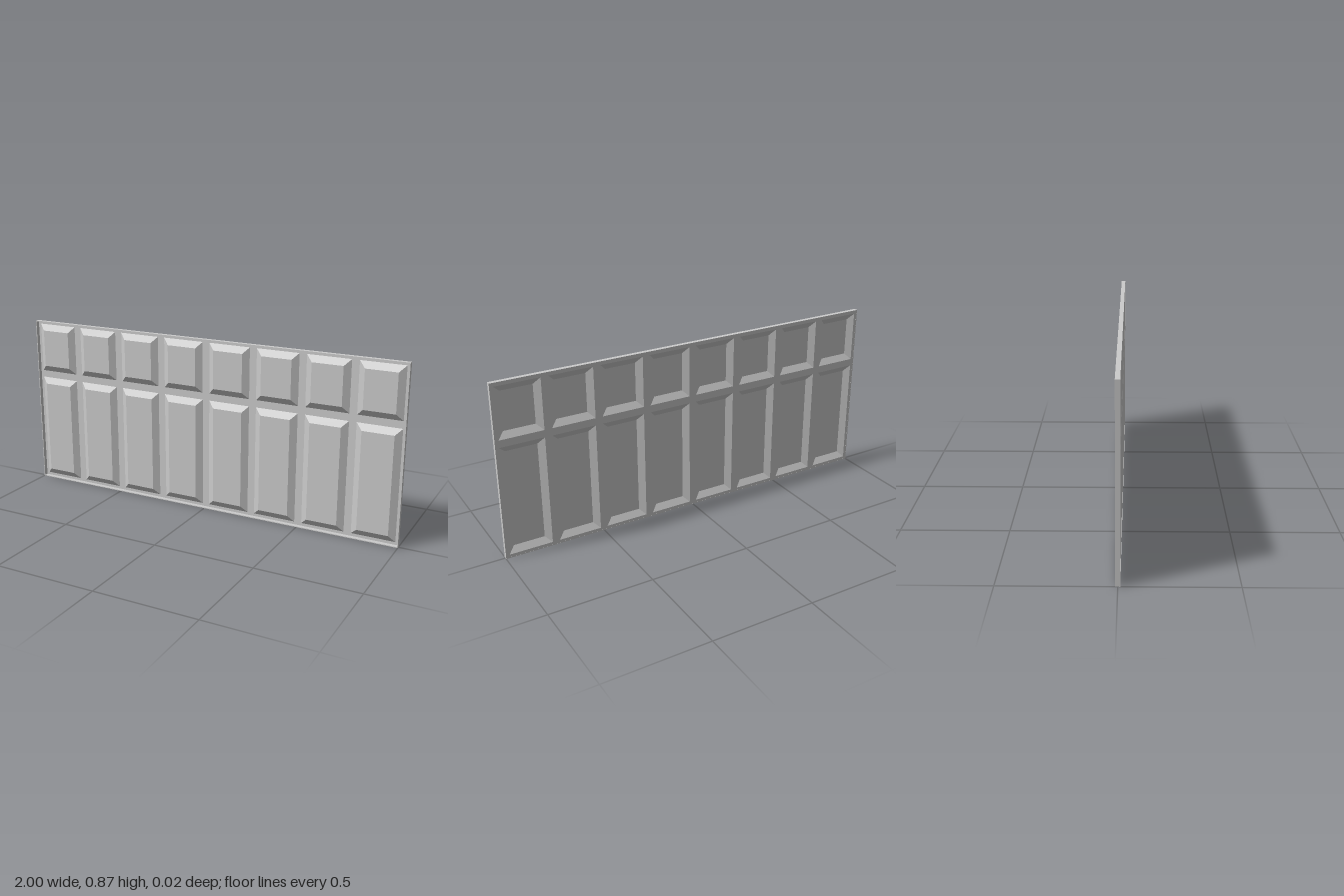
import * as THREE from 'three';

const WIDTH = 2, HEIGHT = 0.87, DEPTH = 0.0208;
const COLUMNS = 8, GAP = 0.018, BEVEL = 0.031;
const BACK = -0.01, FRONT = 0.01;
const ROWS = [[0, 0.582], [0.582, HEIGHT]];

const material = new THREE.MeshStandardMaterial({
  color: 0xcccccc, flatShading: true, side: THREE.DoubleSide,
});

// Corners of a rectangle, counter-clockwise seen from the front
const corners = ({ x0, x1, y0, y1 }, inset = 0) => [
  [x0 + inset, y0 + inset], [x1 - inset, y0 + inset],
  [x1 - inset, y1 - inset], [x0 + inset, y1 - inset],
];

const outline = (Type, rect, inset = 0) =>
  new Type(corners(rect, inset).map(([x, y]) => new THREE.Vector2(x, y)));

// Pressed panel: four bevels rising to a flat face, hollow behind
function pressedPanel(rect) {
  const positions = [
    ...corners(rect).flatMap(([x, y]) => [x, y, BACK]),
    ...corners(rect, BEVEL).flatMap(([x, y]) => [x, y, FRONT]),
  ];
  const index = [4, 5, 6, 4, 6, 7];
  for (let i = 0; i < 4; i++) {
    const j = (i + 1) % 4;
    index.push(i, j, j + 4, i, j + 4, i + 4);
  }
  const indexed = new THREE.BufferGeometry();
  indexed.setAttribute('position', new THREE.Float32BufferAttribute(positions, 3));
  indexed.setIndex(index);
  const geometry = indexed.toNonIndexed();
  geometry.computeVertexNormals();
  return geometry;
}

export function createModel() {
  const model = new THREE.Group();
  model.name = 'panelledDoor';
  const add = (geometry, name) => {
    const mesh = new THREE.Mesh(geometry, material);
    mesh.name = name;
    model.add(mesh);
    return mesh;
  };

  const full = { x0: -WIDTH / 2, x1: WIDTH / 2, y0: 0, y1: HEIGHT };
  const sheet = outline(THREE.Shape, full);

  // Two rows of pressed panels, each opening the sheet behind it
  const pitch = WIDTH / COLUMNS;
  ROWS.forEach(([bottom, top], row) => {
    for (let column = 0; column < COLUMNS; column++) {
      const left = -WIDTH / 2 + column * pitch;
      const rect = {
        x0: left + GAP, x1: left + pitch - GAP,
        y0: bottom + GAP, y1: top - GAP,
      };
      sheet.holes.push(outline(THREE.Path, rect));
      add(pressedPanel(rect), row ? 'upperPanel' : 'lowerPanel');
    }
  });

  // Flat rails and stiles between the panels
  add(new THREE.ShapeGeometry(sheet), 'backSheet').position.z = BACK;

  // Thin rim turned forward around the edge
  const rim = outline(THREE.Shape, full);
  rim.holes.push(outline(THREE.Path, full, 0.004));
  add(new THREE.ExtrudeGeometry(rim, { depth: DEPTH, bevelEnabled: false }), 'edgeRim')
    .position.z = -DEPTH / 2;

  return model;
}
